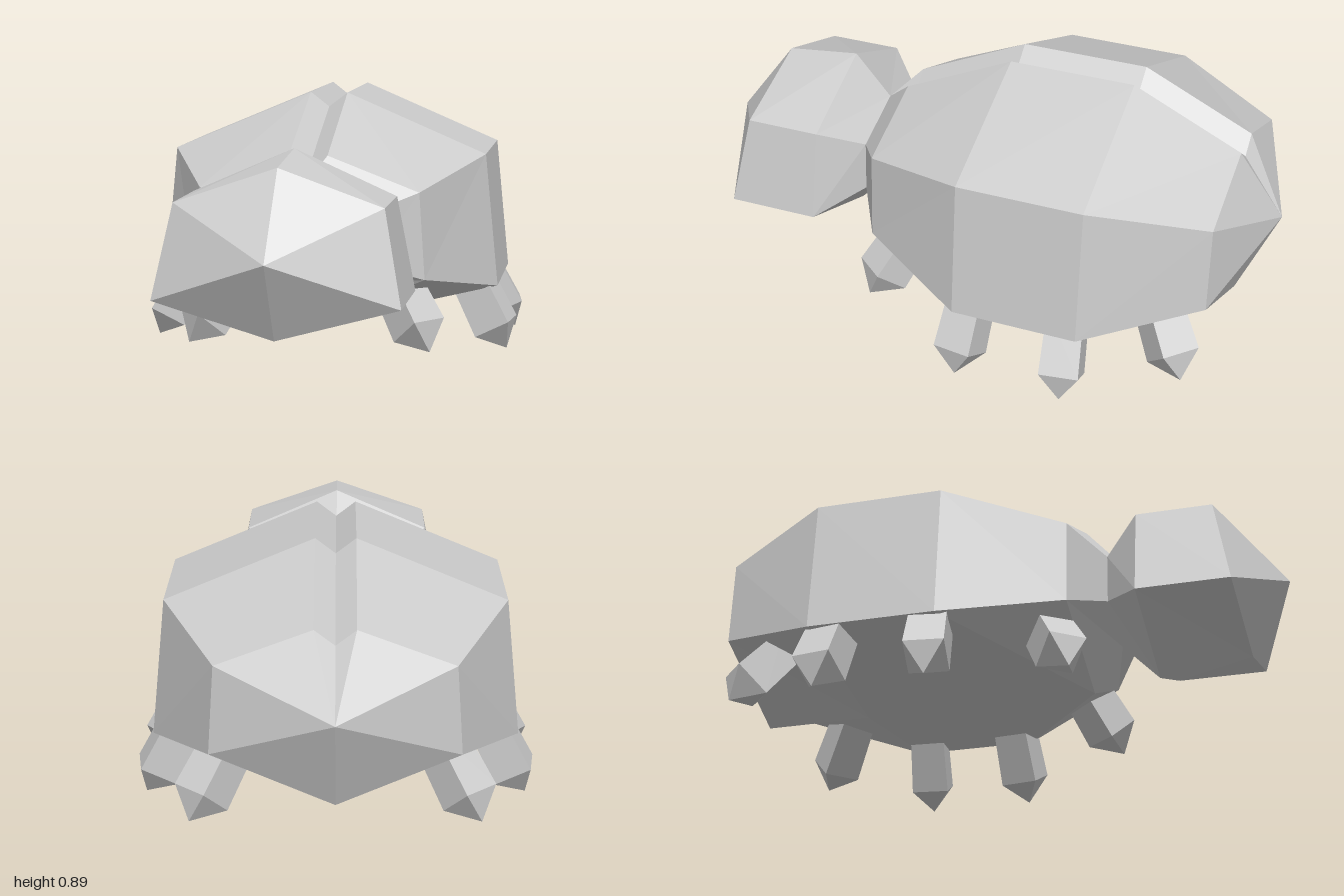
import * as THREE from 'three';

const material = new THREE.MeshStandardMaterial({ color: 0xcccccc, flatShading: true });

// Full ring from a half profile running from the top centre to the belly centre.
function mirrorRing(half) {
  const inner = half.slice(1, -1).reverse().map(([x, y, z]) => [-x, y, z]);
  return [...half, ...inner].map((p) => new THREE.Vector3(...p));
}

// Faceted skin over half-profile rings ordered from front to back.
function loft(name, halves) {
  const rings = halves.map(mirrorRing);
  const n = rings[0].length;
  const points = [];
  const addTriangle = (a, b, c) => {
    if (new THREE.Triangle(a, b, c).getArea() > 1e-6) points.push(a, b, c);
  };
  for (let i = 0; i < rings.length - 1; i++) {
    for (let j = 0; j < n; j++) {
      const k = (j + 1) % n;
      const a = rings[i][j], b = rings[i][k], c = rings[i + 1][j], d = rings[i + 1][k];
      // Diagonals mirror across the centre plane
      if (j < n / 2) {
        addTriangle(a, b, c);
        addTriangle(b, d, c);
      } else {
        addTriangle(a, b, d);
        addTriangle(a, d, c);
      }
    }
  }
  const geometry = new THREE.BufferGeometry().setFromPoints(points);
  geometry.computeVertexNormals();
  const mesh = new THREE.Mesh(geometry, material);
  mesh.name = name;
  return mesh;
}

const at = (z, half) => half.map(([x, y]) => [x, y, z]);
const tip = (y, z, count) => Array.from({ length: count }, () => [0, y, z]);

// Square leg with a pyramid foot, from its pointed tip up to the hip.
function leg(name, tipPoint, hipPoint) {
  const foot = new THREE.Vector3(...tipPoint);
  const axis = new THREE.Vector3(...hipPoint).sub(foot);
  const length = axis.length();
  axis.normalize();
  const profile = [[0, 0], [0.093, 0.085], [0.085, length], [0, length]];
  const geometry = new THREE.LatheGeometry(profile.map((p) => new THREE.Vector2(...p)), 4);
  geometry.rotateY(Math.PI / 4);
  const side = new THREE.Vector3().crossVectors(axis, new THREE.Vector3(0, 1, 0)).normalize();
  const out = new THREE.Vector3().crossVectors(axis, side);
  const mesh = new THREE.Mesh(geometry, material);
  mesh.quaternion.setFromRotationMatrix(new THREE.Matrix4().makeBasis(out, axis, side));
  mesh.position.copy(foot);
  mesh.name = name;
  return mesh;
}

export function createModel() {
  const model = new THREE.Group();
  model.name = 'beetle';

  // Body: groove, ridge, shoulder, lower side, keel
  const middle = [[0, 0.84], [0.065, 0.89], [0.55, 0.685], [0.597, 0.225], [0, 0.14]];
  const end = [[0, 0.665], [0.065, 0.715], [0.37, 0.6], [0.39, 0.31], [0, 0.14]];
  const neck = [[0, 0.62], [0, 0.62], [0.21, 0.54], [0.22, 0.37], [0, 0.3]];
  model.add(loft('body', [
    at(0.42, neck), at(0.32, end), at(-0.06, middle), at(-0.49, middle), at(-0.86, end),
    tip(0.46, -1, 5),
  ]));

  // Head: crown, brow, cheek, chin
  model.add(loft('head', [
    tip(0.47, 1, 4),
    [[0, 0.735, 0.8], [0.33, 0.62, 0.8], [0.39, 0.32, 0.855], [0, 0.21, 0.86]],
    at(0.545, [[0, 0.765], [0.33, 0.62], [0.39, 0.32], [0, 0.17]]),
    at(0.42, neck.slice(1)),
  ]));

  // Four pairs of legs
  const legs = [
    ['frontLeg', [0.41, 0.07, 0.33], [0.28, 0.28, 0.22]],
    ['frontMiddleLeg', [0.63, 0, -0.08], [0.49, 0.27, -0.1]],
    ['rearMiddleLeg', [0.63, 0, -0.45], [0.49, 0.27, -0.43]],
    ['rearLeg', [0.46, 0.06, -0.81], [0.32, 0.3, -0.66]],
  ];
  for (const [name, foot, hip] of legs) {
    for (const s of [1, -1]) {
      const mirrored = ([x, y, z]) => [s * x, y, z];
      model.add(leg(name + (s > 0 ? 'Left' : 'Right'), mirrored(foot), mirrored(hip)));
    }
  }
  return model;
}
